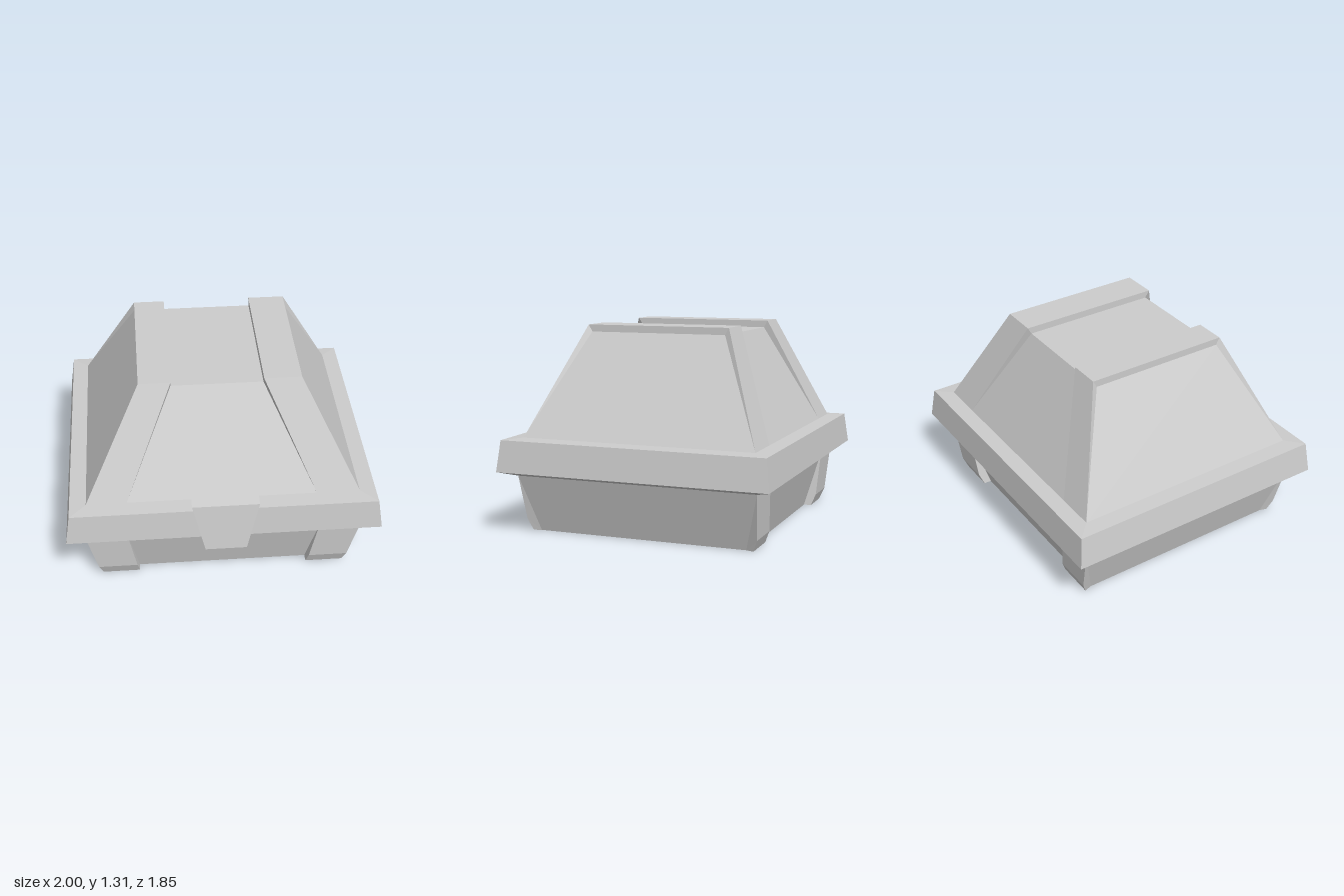
import * as THREE from 'three';

const material = new THREE.MeshStandardMaterial({ color: 0xcccccc, flatShading: true, side: THREE.DoubleSide });

// Collects flat polygons; each is turned so that its normal agrees with "out".
class Sheet {
  constructor() { this.positions = []; }
  add(out, ...points) {
    const p = points.map((a) => new THREE.Vector3(...a));
    const normal = new THREE.Vector3();
    for (let i = 1; i < p.length - 1; i++) {
      normal.add(p[i].clone().sub(p[0]).cross(p[i + 1].clone().sub(p[0])));
    }
    const flip = normal.dot(new THREE.Vector3(...out)) < 0;
    for (let i = 1; i < p.length - 1; i++) {
      const tri = flip ? [p[0], p[i + 1], p[i]] : [p[0], p[i], p[i + 1]];
      tri.forEach((v) => this.positions.push(v.x, v.y, v.z));
    }
  }
  mesh(name) {
    const geometry = new THREE.BufferGeometry();
    geometry.setAttribute('position', new THREE.Float32BufferAttribute(this.positions, 3));
    geometry.computeVertexNormals();
    const mesh = new THREE.Mesh(geometry, material);
    mesh.name = name;
    return mesh;
  }
}

// Rim: rectangular rings [half width, y, front z, back z] joined into a band
function makeRim() {
  const sheet = new Sheet();
  const rings = [
    [0.89, 0.37, 0.76, -0.82],
    [1.0, 0.405, 0.855, -0.925],
    [0.97, 0.605, 0.835, -0.9],
    [0.865, 0.612, 0.73, -0.8],
  ];
  const corners = ([x, y, f, b]) => [[x, y, f], [x, y, b], [-x, y, b], [-x, y, f]];
  const sides = [[1, 0, 0], [0, 0, -1], [-1, 0, 0], [0, 0, 1]];
  for (let r = 0; r < 3; r++) {
    const low = corners(rings[r]), high = corners(rings[r + 1]);
    sides.forEach((out, i) => {
      const j = (i + 1) % 4;
      sheet.add(out, low[i], low[j], high[j], high[i]);
    });
  }
  return sheet.mesh('rim');
}

// Lid: two raised ribs with a sunken middle band and sunken end panels
function makeLid() {
  const sheet = new Sheet();
  const base = 0.612, top = 1.31, low = 1.265;
  const zBase = { 1: 0.73, '-1': -0.8 }, zTop = { 1: 0.44, '-1': -0.51 };
  const zBand = { 1: 0.41, '-1': -0.485 }, zEnd = { 1: 0.415, '-1': -0.485 };
  const ribBase = { 1: 0.59, '-1': -0.61 }, ribTop = { 1: 0.27, '-1': -0.305 };
  const B = (x, z) => [x * 0.865, base, zBase[z]];
  const T = (x, z) => [x * 0.505, top, zTop[z]];
  const I = (x, z) => [ribBase[x], base, zBase[z]];
  const R = (x, z) => [ribTop[x], top, zTop[z]];
  const P = (x, z) => [ribTop[x], low, zBand[z]];
  const U = (x, z) => [x * 0.505, low, zEnd[z]];
  for (const z of [1, -1]) {
    sheet.add([0, 0, z], I(-1, z), I(1, z), P(1, z), P(-1, z));
    for (const x of [1, -1]) {
      sheet.add([0, 0, z], B(x, z), I(x, z), R(x, z), T(x, z));
      sheet.add([-x, 0, 0], I(x, z), R(x, z), P(x, z));
      sheet.add([x, 0, 0], B(x, z), T(x, z), U(x, z));
    }
  }
  for (const x of [1, -1]) {
    sheet.add([0, 1, 0], T(x, 1), T(x, -1), R(x, -1), R(x, 1));
    sheet.add([-x, 0, 0], R(x, 1), R(x, -1), P(x, -1), P(x, 1));
    sheet.add([x, 0, 0], T(x, 1), T(x, -1), U(x, -1), U(x, 1));
    sheet.add([x, 0, 0], U(x, 1), U(x, -1), B(x, -1), B(x, 1));
  }
  sheet.add([0, 1, 0], P(1, 1), P(1, -1), P(-1, -1), P(-1, 1));
  return sheet.mesh('lid');
}

// Lower body: open underneath, with bent corner legs around sunken panels
function makeBody() {
  const sheet = new Sheet();
  const ys = [0.37, 0.075, 0], outer = [0.89, 0.815, 0.79], inner = [0.62, 0.565, 0.55];
  const zs = { 1: [0.76, 0.74, 0.71], '-1': [-0.82, -0.8, -0.77] };
  const C = (x, z, i) => [x * outer[i], ys[i], zs[z][i]];
  const J = (x, z, i) => [x * inner[i], ys[i], zs[z][i]];
  const Q = (x, z) => [x * inner[2], 0, zs[z][2] - z * 0.05];
  const V = (x, z) => [x * 0.775, 0, zs[z][2] - z * 0.05];
  for (const z of [1, -1]) {
    sheet.add([0, 0, z], J(-1, z, 0), J(1, z, 0), Q(1, z), Q(-1, z));
    for (const x of [1, -1]) {
      for (const i of [0, 1]) {
        sheet.add([0, 0, z], C(x, z, i), J(x, z, i), J(x, z, i + 1), C(x, z, i + 1));
      }
      sheet.add([-x, 0, 0], Q(x, z), J(x, z, 0), J(x, z, 1), J(x, z, 2));
      sheet.add([x, 0, 0], V(x, z), C(x, z, 0), C(x, z, 1), C(x, z, 2));
    }
  }
  for (const x of [1, -1]) {
    sheet.add([x, 0, 0], C(x, 1, 0), C(x, -1, 0), V(x, -1), V(x, 1));
  }
  return sheet.mesh('body');
}

// Latch: a tapered clasp hooked over the front of the rim
function makeLatch() {
  const sheet = new Sheet();
  const profile = [[0.21, 0.71, 0.74], [0.21, 0.68, 0.885], [0.13, 0.36, 0.925], [0.13, 0.28, 0.785]];
  const outs = [[0, 1, 0], [0, 0, 1], [0, -1, 0], [0, 0, -1]];
  const at = (s, i) => [s * profile[i][0], profile[i][1], profile[i][2]];
  outs.forEach((out, i) => {
    const j = (i + 1) % 4;
    sheet.add(out, at(1, i), at(-1, i), at(-1, j), at(1, j));
  });
  for (const s of [1, -1]) sheet.add([s, 0, 0], at(s, 0), at(s, 1), at(s, 2), at(s, 3));
  return sheet.mesh('latch');
}

export function createModel() {
  const group = new THREE.Group();
  group.name = 'chest';
  group.add(makeBody(), makeRim(), makeLid(), makeLatch());
  return group;
}
